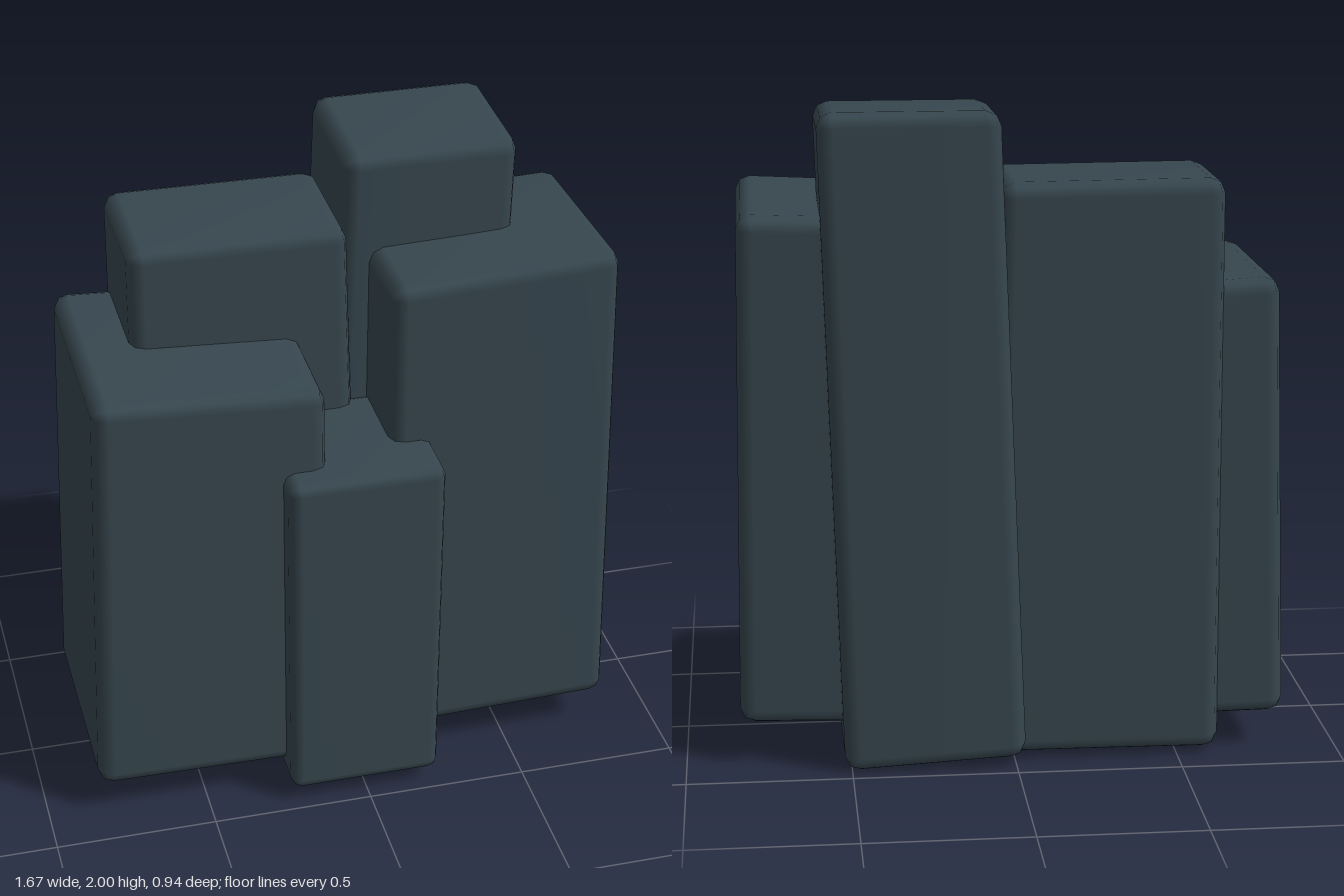
import * as THREE from 'three';
import { mergeVertices } from 'three/addons/utils/BufferGeometryUtils.js';
import { RoundedBoxGeometry } from 'three/addons/geometries/RoundedBoxGeometry.js';

const lerp = THREE.MathUtils.lerp;

// Rounded block whose bottom and top are separate, slightly tilted rectangles.
// Each end: x = [left, right], z = [back, front], y = [backLeft, backRight, frontLeft, frontRight]
function stoneBlock(name, bottom, top, material, radius = 0.045) {
  const w = top.x[1] - top.x[0];
  const d = top.z[1] - top.z[0];
  const h = top.y[0] - bottom.y[0];
  const geometry = new RoundedBoxGeometry(w, h, d, 1, radius);
  geometry.deleteAttribute('uv');
  geometry.deleteAttribute('normal');
  const p = geometry.attributes.position;
  for (let i = 0; i < p.count; i++) {
    const u = p.getX(i) / w + 0.5;
    const v = p.getY(i) / h + 0.5;
    const t = p.getZ(i) / d + 0.5;
    const height = (e) => lerp(lerp(e.y[0], e.y[1], u), lerp(e.y[2], e.y[3], u), t);
    p.setXYZ(i,
      lerp(lerp(...bottom.x, u), lerp(...top.x, u), v),
      lerp(height(bottom), height(top), v),
      lerp(lerp(...bottom.z, t), lerp(...top.z, t), v));
  }
  geometry.clearGroups();
  const smooth = mergeVertices(geometry, 1e-4);
  smooth.computeVertexNormals();
  const mesh = new THREE.Mesh(smooth, material);
  mesh.name = name;
  return mesh;
}

export function createModel() {
  const group = new THREE.Group();
  group.name = 'rockCluster';
  const stone = new THREE.MeshStandardMaterial({ color: 0x37474f });
  stone.name = 'darkSlate';

  group.add(
    // tallest column at the back
    stoneBlock('tallBackBlock',
      { x: [-0.03, 0.52], z: [-0.47, 0.0], y: [0.03, 0.0, 0.03, 0.0] },
      { x: [0.045, 0.58], z: [-0.455, 0.0], y: [2.0, 2.0, 1.985, 1.985] }, stone),
    // broad column behind on the other side
    stoneBlock('broadBackBlock',
      { x: [-0.63, 0.09], z: [-0.4, 0.06], y: [0.015, 0.02, 0.015, 0.02] },
      { x: [-0.625, 0.04], z: [-0.395, 0.05], y: [1.785, 1.78, 1.785, 1.78] }, stone),
    // large front columns
    stoneBlock('largeFrontBlock',
      { x: [0.1, 0.835], z: [-0.36, 0.31], y: [0.11, 0.13, 0.1, 0.12] },
      { x: [0.115, 0.815], z: [-0.39, 0.29], y: [1.67, 1.695, 1.69, 1.725] }, stone),
    stoneBlock('wideFrontBlock',
      { x: [-0.84, -0.1], z: [-0.355, 0.385], y: [0.11, 0.1, 0.11, 0.1] },
      { x: [-0.8, -0.11], z: [-0.355, 0.385], y: [1.48, 1.44, 1.475, 1.435] }, stone),
    // short column in the middle of the front
    stoneBlock('shortFrontBlock',
      { x: [-0.245, 0.23], z: [-0.02, 0.475], y: [0.04, 0.04, 0.05, 0.05] },
      { x: [-0.245, 0.237], z: [-0.02, 0.475], y: [1.175, 1.175, 1.175, 1.175] }, stone, 0.035),
  );
  return group;
}
